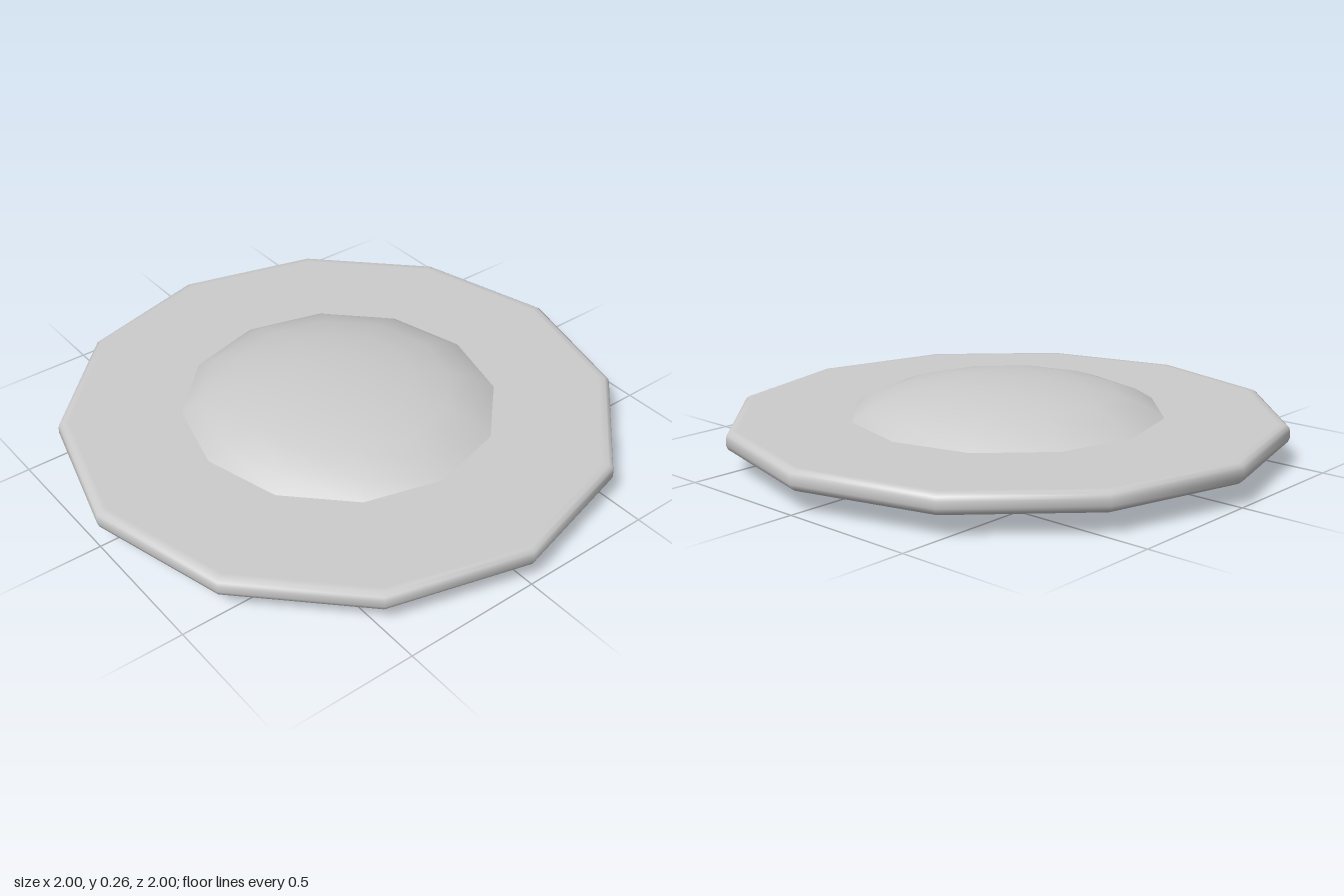
import * as THREE from 'three';
import { toCreasedNormals } from 'three/addons/utils/BufferGeometryUtils.js';

const SIDES = 12;

// Turns a bottom-to-top profile of [radius, height] pairs into a 12-sided part.
function turned(name, profile, material) {
  const points = profile.map(([r, y]) => new THREE.Vector2(r, y));
  const geometry = toCreasedNormals(new THREE.LatheGeometry(points, SIDES), 0.87);
  const mesh = new THREE.Mesh(geometry, material);
  mesh.name = name;
  return mesh;
}

export function createModel() {
  const group = new THREE.Group();
  group.name = 'saucer';
  const grey = new THREE.MeshStandardMaterial({ color: 0xcccccc, side: THREE.DoubleSide });

  // Foot: short straight ring closed at the bottom
  group.add(turned('foot', [[0, 0], [0.525, 0], [0.525, 0.035]], grey));

  // Disc: shallow conical underside, rounded rim and flat top
  group.add(turned('disc', [
    [0.525, 0.033], [0.95, 0.071], [0.98, 0.075], [0.994, 0.085], [1, 0.1],
    [1, 0.122], [0.996, 0.136], [0.982, 0.145], [0.96, 0.145], [0.565, 0.145],
  ], grey));

  // Dome: low rounded cap rising from the disc
  group.add(turned('dome', [
    [0.565, 0.145], [0.5, 0.185], [0.4, 0.219], [0.27, 0.246], [0.14, 0.259], [0, 0.263],
  ], grey));

  return group;
}
